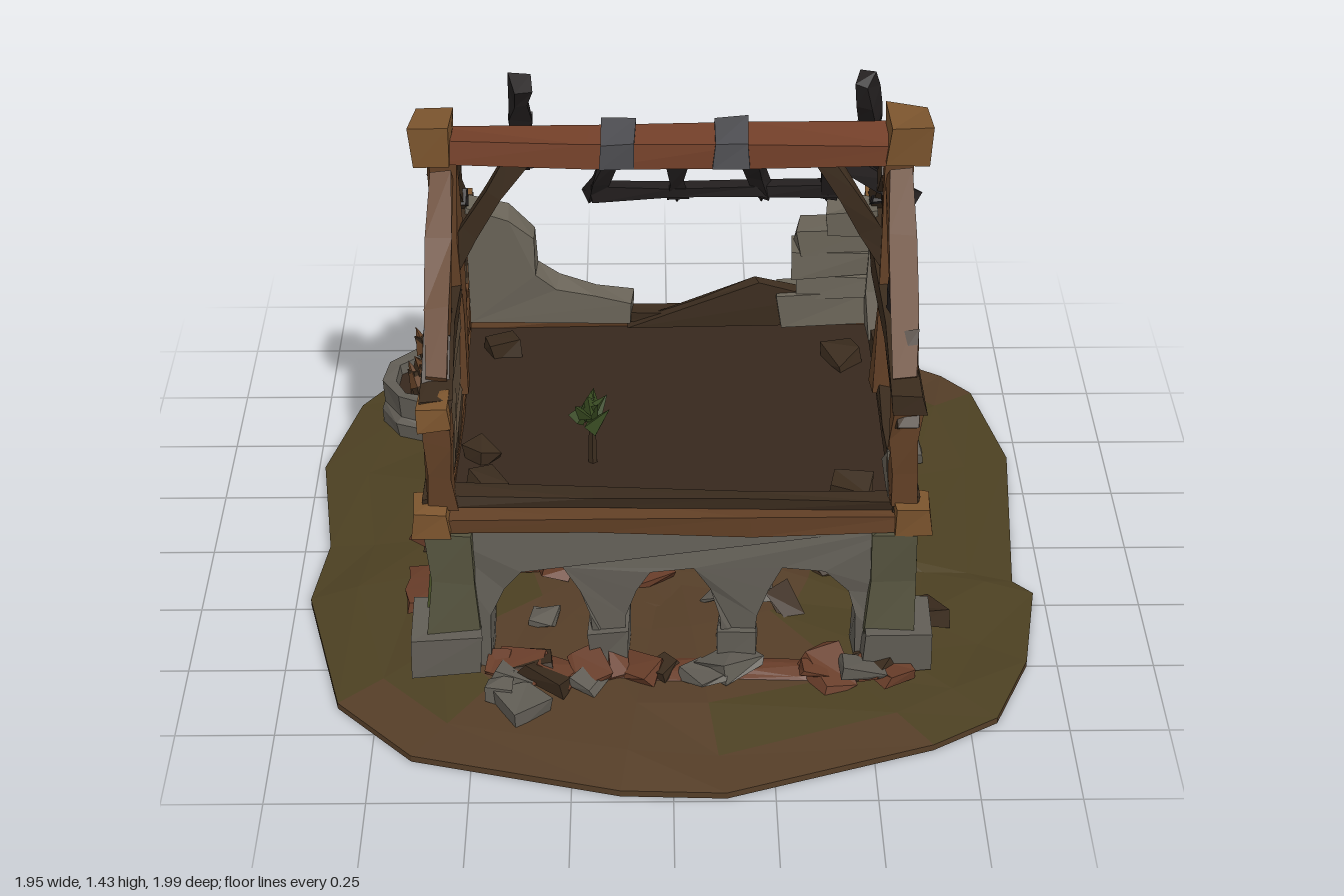
import * as THREE from 'three';

const C = { wood: 0x624026, pale: 0x7c552e, rust: 0x75412a, dark: 0x3b2c1e, char: 0x242020, floor: 0x37281d, stone: 0x625e56,
  plaster: 0x6a6458, inner: 0x5f4e3b, brick: 0x683d29, iron: 0x4e4e52, mossy: 0x56543f, moss: 0x464f26, leaf: 0x36481f,
  soil: 0x553e28, olive: 0x4c4022 };
const mats = {};
for (const k in C) mats[k] = new THREE.MeshStandardMaterial({ color: C[k], flatShading: true, side: THREE.DoubleSide });

let seed = 7;
const rnd = (a, b) => { seed = (seed * 16807) % 2147483647; return a + (b - a) * seed / 2147483647; };

// moves equal positions equally, so surfaces stay closed
function rough(geo, amt, s = 0) {
  const p = geo.attributes.position;
  const n = (x, y, z, k) => { const v = Math.sin(x * 127.1 + y * 311.7 + z * 74.7 + k * 53.3 + s * 9.1) * 4375.85; return (v - Math.floor(v) - 0.5) * 2 * amt; };
  for (let i = 0; i < p.count; i++) {
    const [x, y, z] = [p.getX(i), p.getY(i), p.getZ(i)].map(v => Math.round(v * 1e4) / 1e4 + 0);
    p.setXYZ(i, x + n(x, y, z, 1), y + n(x, y, z, 2), z + n(x, y, z, 3));
  }
  geo.computeVertexNormals();
  return geo;
}

export function createModel() {
  seed = 7;
  const root = new THREE.Group();
  root.name = 'ruinedHouse';
  const add = (name, geo, mat, x = 0, y = 0, z = 0) => {
    const m = new THREE.Mesh(geo, mats[mat]);
    m.name = name; m.position.set(x, y, z); root.add(m);
    return m;
  };
  const block = (name, mat, x, y, z, w, h, d, amt = 0.008) =>
    add(name, rough(new THREE.BoxGeometry(w, h, d), amt, x + z * 3 + y), mat, x, y, z);
  // rough-hewn timber between two points
  function beam(name, mat, a, b, w, h = w, amt = 0.008) {
    const A = new THREE.Vector3(...a), B = new THREE.Vector3(...b);
    const m = add(name, rough(new THREE.BoxGeometry(w, h, A.distanceTo(B), 1, 1, 3), amt, a[0] + b[2]), mat);
    m.position.copy(A).lerp(B, 0.5);
    m.lookAt(B);
    return m;
  }
  const slab = (pts, depth, holes = []) => {
    const s = new THREE.Shape(pts.map(p => new THREE.Vector2(...p)));
    holes.forEach(h => s.holes.push(new THREE.Path(h.map(p => new THREE.Vector2(...p)))));
    return new THREE.ExtrudeGeometry(s, { depth, bevelEnabled: false }).translate(0, 0, -depth / 2);
  };

  // ground: irregular disc built from scaled rings of one outline
  const edge = [[0.16, -1], [0.45, -0.92], [0.61, -0.95], [0.82, -0.82], [0.9, -0.73], [0.97, -0.4], [0.92, 0.17], [0.97, 0.22],
    [0.92, 0.5], [0.82, 0.72], [0.65, 0.82], [0.13, 0.99], [-0.13, 0.98], [-0.65, 0.85], [-0.85, 0.65], [-0.96, 0.23],
    [-0.93, 0], [-0.98, -0.37], [-0.9, -0.68], [-0.78, -0.85], [-0.65, -0.91]];
  const rings = [[0, 0], [1, 0], [1, 0.018], [0.87, 0.03], [0.7, 0.045], [0.4, 0.05], [0, 0.05]];
  const faces = { soil: [], olive: [] };
  const pt = (r, i) => {
    const [x, z] = edge[i % edge.length], [s, y] = rings[r];
    return [x * s, y + (r > 2 && r < 6 ? Math.sin(i % edge.length * 2.3 + r * 1.7) * 0.008 : 0), z * s];
  };
  for (let r = 0; r < rings.length - 1; r++) for (let i = 0; i < edge.length; i++) {
    const a = pt(r, i), b = pt(r, i + 1), c = pt(r + 1, i + 1), d = pt(r + 1, i);
    const green = r > 1 && r < 5 && Math.abs(a[0]) > 0.5 && Math.abs(a[2]) < 0.75;
    faces[green ? 'olive' : 'soil'].push(...a, ...c, ...b, ...a, ...d, ...c);
  }
  for (const k in faces) {
    const g = new THREE.BufferGeometry();
    g.setAttribute('position', new THREE.Float32BufferAttribute(faces[k], 3));
    g.computeVertexNormals();
    add(k === 'soil' ? 'ground' : 'grass', g, k);
  }

  // arcaded ground-floor walls
  function arcade(half, arches) {
    const p = [[-half - 0.02, 0.03]];
    for (const [l, r] of arches) {
      const m = (l + r) / 2;
      p.push([l, 0.03], [l + 0.005, 0.2], [l + 0.035, 0.28], [m - 0.055, 0.345], [m + 0.05, 0.35], [r - 0.03, 0.28], [r - 0.005, 0.2], [r, 0.03]);
    }
    p.push([half + 0.01, 0.03], [half, 0.25], [half, 0.47], [-half, 0.47], [-half, 0.25]);
    return rough(slab(p, 0.1), 0.008, half);
  }
  const long = [[-0.46, -0.2], [-0.12, 0.13], [0.21, 0.47]], short = [[-0.315, -0.075], [0.05, 0.315]];
  for (const z of [0.48, -0.37]) {
    add('arcadeWall', arcade(0.6, long), 'stone', 0, 0, z);
    for (const x of [-0.16, 0.17]) block('pillarBase', 'stone', x, 0.1, z, 0.1, 0.11, 0.13);
  }
  for (const x of [-0.55, 0.55]) {
    const sx = Math.sign(x);
    add('arcadeSideWall', arcade(0.465, short), 'stone', x, 0, 0.055).rotation.y = -Math.PI / 2;
    block('pillarBase', 'stone', x, 0.1, 0.045, 0.13, 0.11, 0.11);
    // mossy corners narrowing towards the middle, on stone feet
    for (const z of [0.49, -0.38]) {
      const sz = Math.sign(z);
      block('cornerFoot', 'stone', x + sx * 0.025, 0.11, z + sz * 0.005, 0.18, 0.12, 0.17, 0.012);
      const g = new THREE.LatheGeometry([[0.001, 0.31], [0.085, 0.31], [0.078, 0.16], [0.095, 0]].map(p => new THREE.Vector2(...p)), 4).rotateY(Math.PI / 4);
      add('mossyCorner', rough(g, 0.008, x + z), 'mossy', x + sx * 0.002, 0.16, z);
      block('mossPatch', 'moss', x + sx * 0.035, 0.33, z + sz * 0.02, 0.05, 0.17, 0.05, 0.014);
    }
  }

  // floor and sill beams
  block('floor', 'floor', 0, 0.475, 0.055, 1.1, 0.04, 0.88, 0.004);
  for (const z of [0.51, -0.4]) {
    const s = Math.sign(z);
    beam('sillBeam', 'wood', [-0.6, 0.5, z], [0.6, 0.49, z], 0.07, 0.05);
    beam('upperSill', 'dark', [-0.58, 0.545, z - s * 0.03], [0.56, 0.525, z - s * 0.02], 0.05, 0.035);
  }
  for (const x of [-0.58, 0.58]) {
    const s = Math.sign(x), gx = x * 0.985;
    beam('sideSill', 'wood', [x, 0.49, 0.52], [x, 0.49, -0.41], 0.07, 0.05);
    beam('sideUpperSill', 'dark', [x, 0.54, 0.52], [x, 0.53, -0.4], 0.06, 0.045);
    for (const z of [0.51, -0.4]) {
      block('sillCorner', 'pale', x + s * 0.015, 0.51, z + Math.sign(z) * 0.005, 0.09, 0.08, 0.09);
      beam('cornerPost', 'wood', [x - s * 0.01, 0.54, z - 0.01], [x - s * 0.01, 0.84, z], 0.07, 0.065);
      if (x < 0 || z < 0) block('plateCorner', 'pale', x - s * 0.005, 0.845, z + Math.sign(z) * 0.035, 0.08, 0.065, 0.075);
    }
    // gable truss
    beam('wallPlate', 'dark', [gx, 0.855, 0.55], [gx, 0.85, -0.45], 0.075, 0.05);
    beam('kingPost', 'wood', [gx, 0.54, 0.0], [gx, 1.25, -0.01], 0.075, 0.06);
    beam('gableRafter', 'wood', [gx, 1.2, 0.03], [gx, 0.87, 0.46], 0.06, 0.055);
    beam('gableRafter', 'dark', [gx, 1.2, -0.03], [gx, 0.86, -0.42], 0.065, 0.055);
    beam('gableStud', 'char', [gx, 0.86, 0.17], [gx, 1.08, 0.14], 0.04, 0.045);
    beam('gableStrut', 'char', [gx, 0.87, -0.04], [gx, 1.0, -0.22], 0.04, 0.04);
    beam('eaveStub', 'dark', [gx, 0.95, 0.37], [gx, 0.79, 0.54], 0.06, 0.03);
    beam('eaveStub', 'char', [gx, 0.96, -0.28], [gx, 0.84, -0.46], 0.06, 0.04);
    beam('ridgeBrace', 'dark', [gx, 0.92, 0], [s * 0.38, 1.24, 0], 0.04, 0.05);
    block('ridgeEnd', 'pale', s * 0.59, 1.303, 0.01, 0.1, 0.105, 0.12);
  }

  // ridge beam with iron straps
  beam('ridgeBeam', 'rust', [-0.6, 1.275, 0], [0.6, 1.265, 0], 0.115, 0.06);
  for (const x of [-0.13, 0.15]) block('ironStrap', 'iron', x, 1.275, 0, 0.085, 0.072, 0.135, 0.006);

  // charred roof remains behind the ridge, rafters ending in splinters
  for (const [x, dx] of [[-0.13, -0.07], [0.02, 0], [0.19, 0.05], [0.42, -0.01]]) {
    beam('charredRafter', 'char', [x, 1.26, -0.03], [x + dx, 1.03, -0.18], 0.045, 0.035, 0.01);
    const tip = add('splinter', new THREE.ConeGeometry(0.024, 0.07, 4), 'char', x + dx, 1.015, -0.19);
    tip.rotation.x = Math.PI + 0.5;
  }
  beam('charredPurlin', 'char', [-0.2, 1.05, -0.15], [0.44, 1.05, -0.17], 0.04, 0.04);
  for (const [x, dx] of [[-0.37, -0.02], [0.48, 0.06]]) {
    beam('looseRafter', 'char', [x, 1.42, -0.06], [x + dx / 2, 1.24, -0.16], 0.045, 0.06, 0.01);
    beam('looseRafter', 'char', [x + dx / 2, 1.26, -0.15], [x + dx, 1.02, -0.36], 0.05, 0.055, 0.01);
  }
  beam('brokenLath', 'char', [-0.4, 1.04, -0.34], [-0.28, 1.06, -0.33], 0.035);
  beam('brokenLath', 'char', [0.36, 1.2, -0.12], [0.64, 0.95, -0.28], 0.045);

  // upper walls: one whole side, broken corners elsewhere
  const side = slab([[-0.38, 0.53], [0.49, 0.53], [0.49, 0.83], [-0.38, 0.83]], 0.05, [
    [[-0.19, 0.61], [-0.09, 0.6], [-0.1, 0.71], [-0.19, 0.71]],
    [[0.2, 0.585], [0.37, 0.585], [0.35, 0.66], [0.3, 0.71], [0.22, 0.69]]]);
  add('sideWall', rough(side, 0.006), 'inner', -0.57, 0, 0).rotation.y = -Math.PI / 2;
  for (const y of [0.6, 0.72]) beam('windowRail', 'wood', [-0.57, y, -0.22], [-0.57, y, -0.06], 0.07, 0.025, 0.004);
  for (const z of [-0.2, -0.08]) beam('windowJamb', 'wood', [-0.57, 0.6, z], [-0.57, 0.73, z], 0.07, 0.025, 0.004);
  const ruin = (name, pts, mat, x, z, ry = 0, t = 0.07) => { add(name, rough(slab(pts, t), 0.008, x), mat, x, 0, z).rotation.y = ry; };
  ruin('backWallRuin', [[-0.54, 0.53], [-0.1, 0.53], [-0.1, 0.59], [-0.2, 0.61], [-0.3, 0.64], [-0.36, 0.69], [-0.37, 0.79], [-0.43, 0.86], [-0.54, 0.89]], 'plaster', 0, -0.37);
  // coursed stones of the other back corner
  for (const [l, y0, y1] of [[0.3, 0.53, 0.625], [0.35, 0.62, 0.69], [0.33, 0.68, 0.75], [0.35, 0.74, 0.82], [0.42, 0.81, 0.89]])
    block('cornerCourse', 'plaster', (l + 0.55) / 2, (y0 + y1) / 2, -0.37, 0.55 - l, y1 - y0, 0.1, 0.012);
  ruin('sideWallRuin', [[0.5, 0.53], [0.3, 0.53], [0.36, 0.59], [0.41, 0.66], [0.5, 0.69]], 'plaster', 0.57, 0, -Math.PI / 2);
  ruin('sideWallRuin', [[-0.38, 0.53], [-0.24, 0.53], [-0.28, 0.66], [-0.31, 0.8], [-0.38, 0.83]], 'plaster', 0.57, 0, -Math.PI / 2);
  ruin('brokenBoards', [[-0.12, 0.52], [0.5, 0.52], [0.42, 0.61], [0.24, 0.655], [0.05, 0.585]], 'dark', 0, -0.35, 0, 0.03);
  for (const [x, z] of [[-0.48, 0.25], [-0.46, 0.38], [-0.45, -0.25], [0.47, -0.2], [0.45, 0.4]])
    block('floorRubble', 'dark', x, 0.51, z, rnd(0.06, 0.1), rnd(0.03, 0.06), rnd(0.06, 0.1), 0.015).rotation.y = rnd(0, 3);

  // small bush on the upper floor
  add('bushStem', new THREE.CylinderGeometry(0.008, 0.012, 0.16, 5), 'dark', -0.2, 0.57, 0.27);
  for (let i = 0; i < 9; i++) {
    const a = i * 2.4, r = 0.025 + (i % 3) * 0.017;
    const l = add('bushLeaf', new THREE.ConeGeometry(0.025, 0.08, 4), 'leaf', -0.2 + Math.cos(a) * r * 0.4, 0.69 - r * 0.8, 0.27 + Math.sin(a) * r);
    l.rotation.set(Math.sin(a) * 1.2, a, -Math.cos(a) * 0.7);
  }

  // low heaps of debris: colour, x, z, half length, half depth, height
  for (const [mat, x, z, w, d, h] of [['brick', 0.26, -0.53, 0.27, 0.11, 0.05], ['brick', -0.33, -0.52, 0.19, 0.09, 0.045],
    ['brick', 0.1, 0.56, 0.45, 0.05, 0.03], ['soil', 0.05, 0.05, 0.4, 0.28, 0.025]]) {
    const dome = new THREE.SphereGeometry(1, 9, 3, 0, Math.PI * 2, 0, Math.PI / 2);
    add('debrisHeap', rough(dome, 0.1, x).scale(w, h, d), mat, x, 0.035, z);
  }

  // scattered rubble: [x range, z range, count]
  for (const [x0, x1, z0, z1, n] of [[-0.45, 0.6, 0.54, 0.61, 20], [0.02, 0.5, -0.62, -0.44, 14], [-0.5, -0.15, -0.58, -0.44, 10],
    [-0.4, 0.45, -0.25, 0.4, 14], [0.6, 0.67, -0.3, 0.35, 4], [-0.65, -0.6, -0.25, 0.1, 3]])
    for (let i = 0; i < n; i++) {
      const s = rnd(0.05, 0.1);
      const m = block('rubble', ['brick', 'dark', 'brick', 'stone'][i % 4], rnd(x0, x1), rnd(0.055, 0.075), rnd(z0, z1), s * 1.3, s * 0.35, s, s * 0.16);
      m.rotation.set(rnd(-0.35, 0.35), rnd(0, 3), rnd(-0.35, 0.35));
    }
  for (const [x, z, s] of [[-0.38, 0.69, 0.1], [-0.44, 0.64, 0.07], [0.02, -0.75, 0.07], [0.33, -0.66, 0.07], [0.68, -0.38, 0.08], [0.55, -0.53, 0.08], [-0.46, -0.66, 0.07]])
    block('looseStone', 'stone', x, 0.055, z, s, s * 0.6, s, 0.014).rotation.y = x * 7;
  beam('leaningBoard', 'brick', [-0.67, 0.07, 0.16], [-0.66, 0.09, 0.36], 0.06, 0.025);

  // round stone planter with dead stalks
  const ring = [[0.15, 0.02], [0.155, 0.08], [0.145, 0.1], [0.152, 0.17], [0.11, 0.17], [0.105, 0.1]].map(p => new THREE.Vector2(...p));
  add('planter', rough(new THREE.LatheGeometry(ring, 9), 0.006), 'stone', -0.68, 0, -0.61);
  add('planterSoil', new THREE.CylinderGeometry(0.115, 0.115, 0.03, 9), 'floor', -0.68, 0.12, -0.61);
  for (const [x, z, h, t] of [[-0.73, -0.57, 0.26, 0.02], [-0.69, -0.68, 0.24, -0.03], [-0.64, -0.58, 0.3, 0.03], [-0.66, -0.64, 0.23, 0.02], [-0.71, -0.53, 0.23, -0.02]]) {
    beam('stalk', 'dark', [x, 0.12, z], [x + t, h, z + t], 0.02, 0.03, 0.004);
    add('deadLeaf', new THREE.ConeGeometry(0.03, 0.08, 4), 'wood', x + t, h - 0.01, z + t).rotation.set(t * 20, x * 9, 0.4);
  }

  // weed tuft behind the house
  for (let i = 0; i < 4; i++)
    add('weed', new THREE.ConeGeometry(0.02, 0.08, 3), 'leaf', i * 0.018, 0.06, -0.8 + i * 0.025).rotation.set(0.5, i * 1.7, 0.6);

  return root;
}
